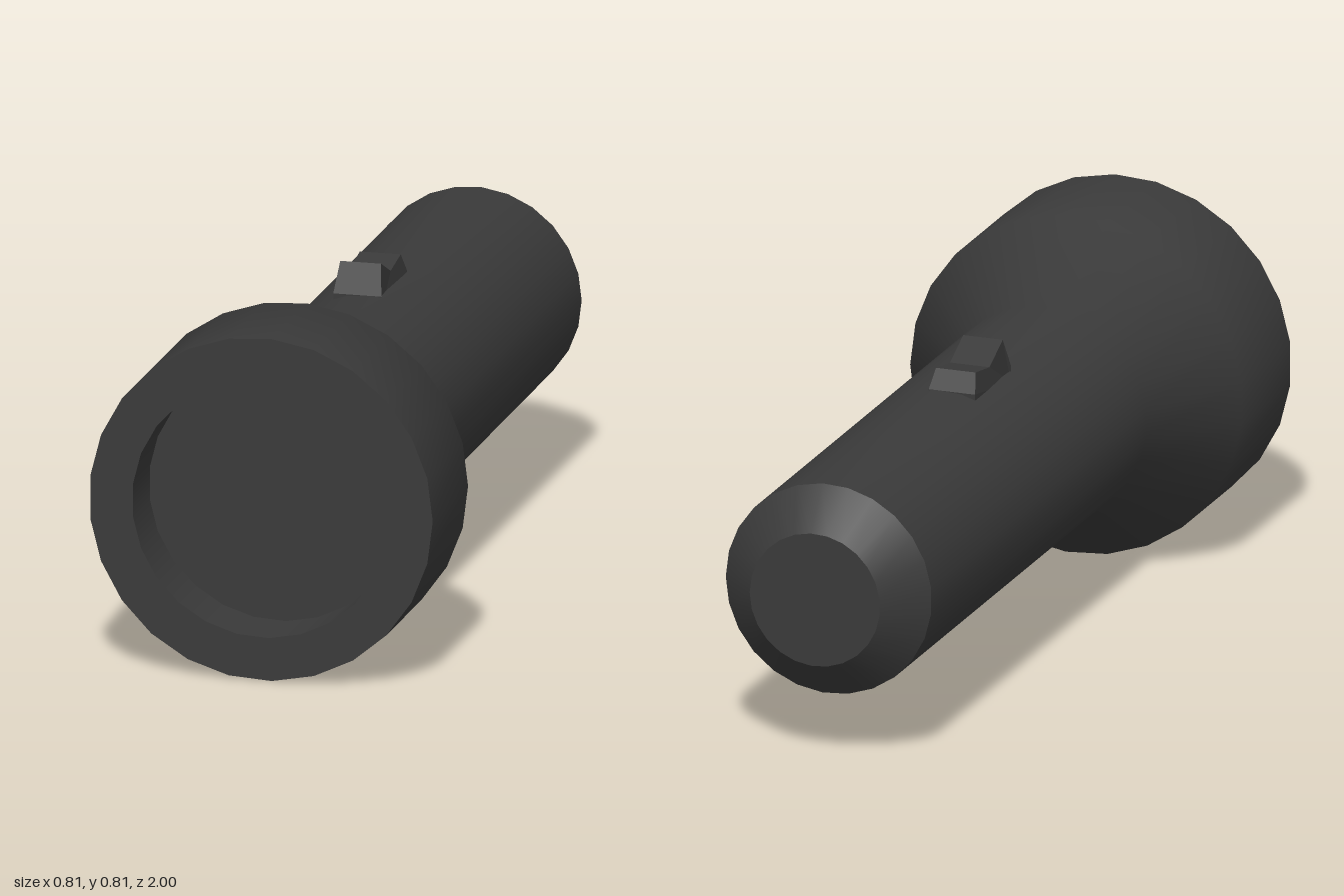
import * as THREE from 'three';

const SIDES = 25;
const AXIS_Y = 0.408;

export function createModel() {
  const group = new THREE.Group();
  const material = new THREE.MeshStandardMaterial({ color: 0x3a3a3a });

  // Profile as [radius, z] from tail to lens; repeated points keep an edge sharp.
  const profile = [
    [0, -1], [0.16, -1], [0.16, -1],         // tail cap
    [0.253, -0.91], [0.253, -0.91],          // tail chamfer
    [0.253, 0.475], [0.408, 0.685],          // grip and flared neck
    [0.408, 1], [0.408, 1],                  // head
    [0.306, 1], [0.306, 1],                  // rim
    [0.306, 0.85], [0.306, 0.85], [0, 0.85], // recess and lens
  ].map(([r, z]) => new THREE.Vector2(r, z));
  const bodyGeometry = new THREE.LatheGeometry(profile, SIDES, Math.PI / 2);
  bodyGeometry.rotateX(Math.PI / 2);
  const body = new THREE.Mesh(bodyGeometry, material);
  body.name = 'torchBody';
  body.position.y = AXIS_Y;
  group.add(body);

  // Rocker switch: side outline as [z, y], extruded across the grip.
  const outline = [
    [0.05, 0.62], [0.05, 0.66], [0.02, 0.73], [-0.065, 0.69],
    [-0.155, 0.705], [-0.18, 0.66], [-0.18, 0.62],
  ].map(([z, y]) => new THREE.Vector2(z, y));
  const switchGeometry = new THREE.ExtrudeGeometry(new THREE.Shape(outline), {
    depth: 0.114, bevelEnabled: false,
  });
  switchGeometry.translate(0, 0, -0.057);
  switchGeometry.rotateY(-Math.PI / 2);
  // Narrow the top slightly.
  const position = switchGeometry.attributes.position;
  for (let i = 0; i < position.count; i++) {
    if (position.getY(i) > 0.68) position.setX(i, position.getX(i) * 0.85);
  }
  switchGeometry.computeVertexNormals();
  const rocker = new THREE.Mesh(switchGeometry, material);
  rocker.name = 'rockerSwitch';
  rocker.position.x = -0.024;
  group.add(rocker);

  return group;
}
